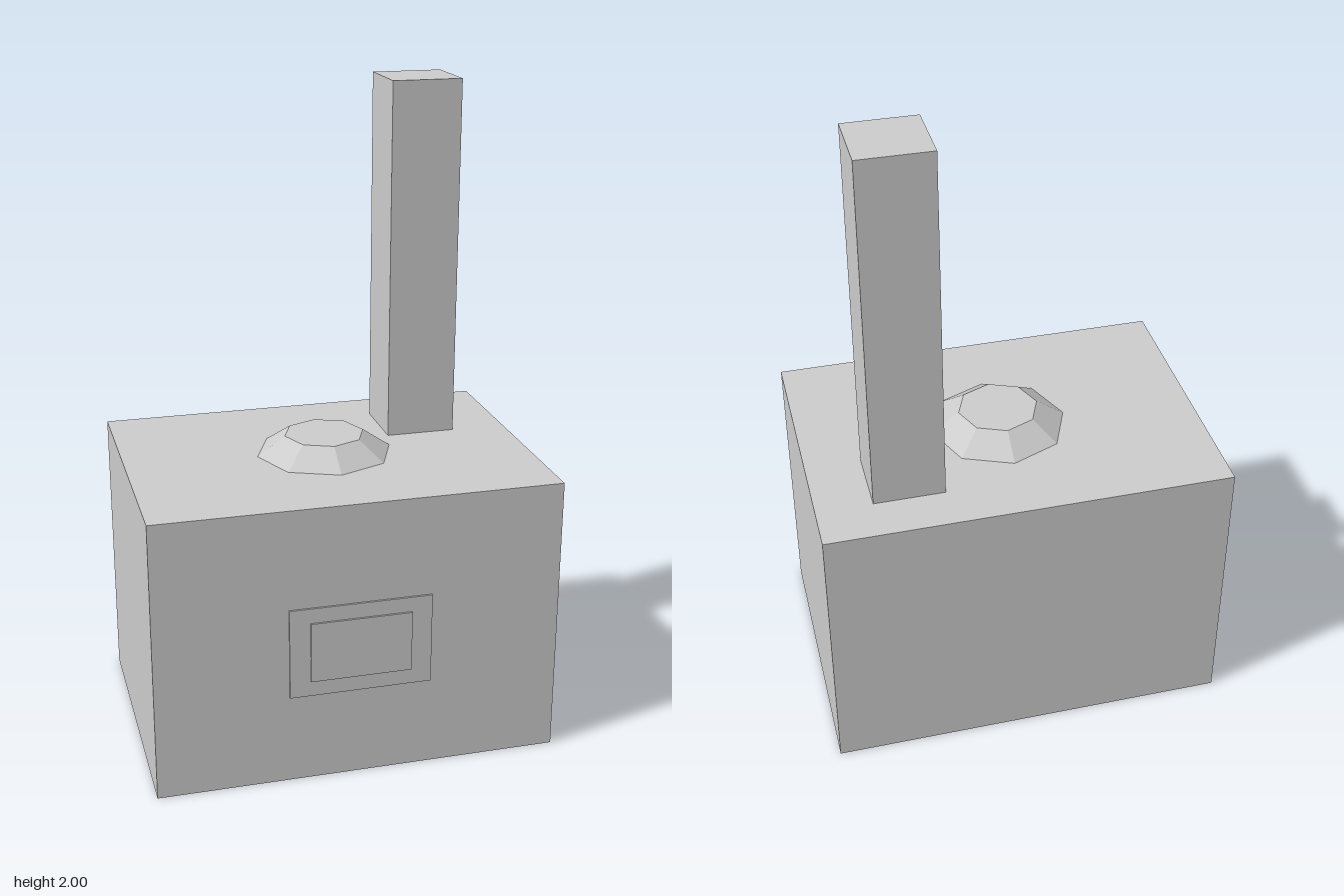
import * as THREE from 'three';

export function createModel() {
  const grey = new THREE.MeshStandardMaterial({ color: 0xcccccc });
  grey.name = 'pale grey';
  grey.flatShading = true;
  const model = new THREE.Group();
  model.name = 'stove';

  const add = (name, geometry, x, y, z) => {
    const mesh = new THREE.Mesh(geometry, grey);
    mesh.name = name;
    mesh.position.set(x, y, z);
    model.add(mesh);
  };
  // Box given by its low and high corners
  const box = (name, [x0, y0, z0], [x1, y1, z1]) =>
    add(name, new THREE.BoxGeometry(x1 - x0, y1 - y0, z1 - z0),
      (x0 + x1) / 2, (y0 + y1) / 2, (z0 + z1) / 2);

  // Main block and the flue rising from its back left corner
  box('body', [-0.622, 0, -0.443], [0.622, 0.88, 0.431]);
  box('chimney', [0.232, 0.88, -0.301], [0.45, 2, -0.087]);

  // Octagonal hob lid with sloping sides
  add('hobLid', new THREE.CylinderGeometry(0.125, 0.212, 0.06, 8), 0, 0.91, -0.007);

  // Stepped door on the front
  box('doorFrame', [-0.218, 0.281, 0.431], [0.218, 0.567, 0.437]);
  box('doorPanel', [-0.155, 0.33, 0.437], [0.155, 0.52, 0.443]);

  return model;
}
